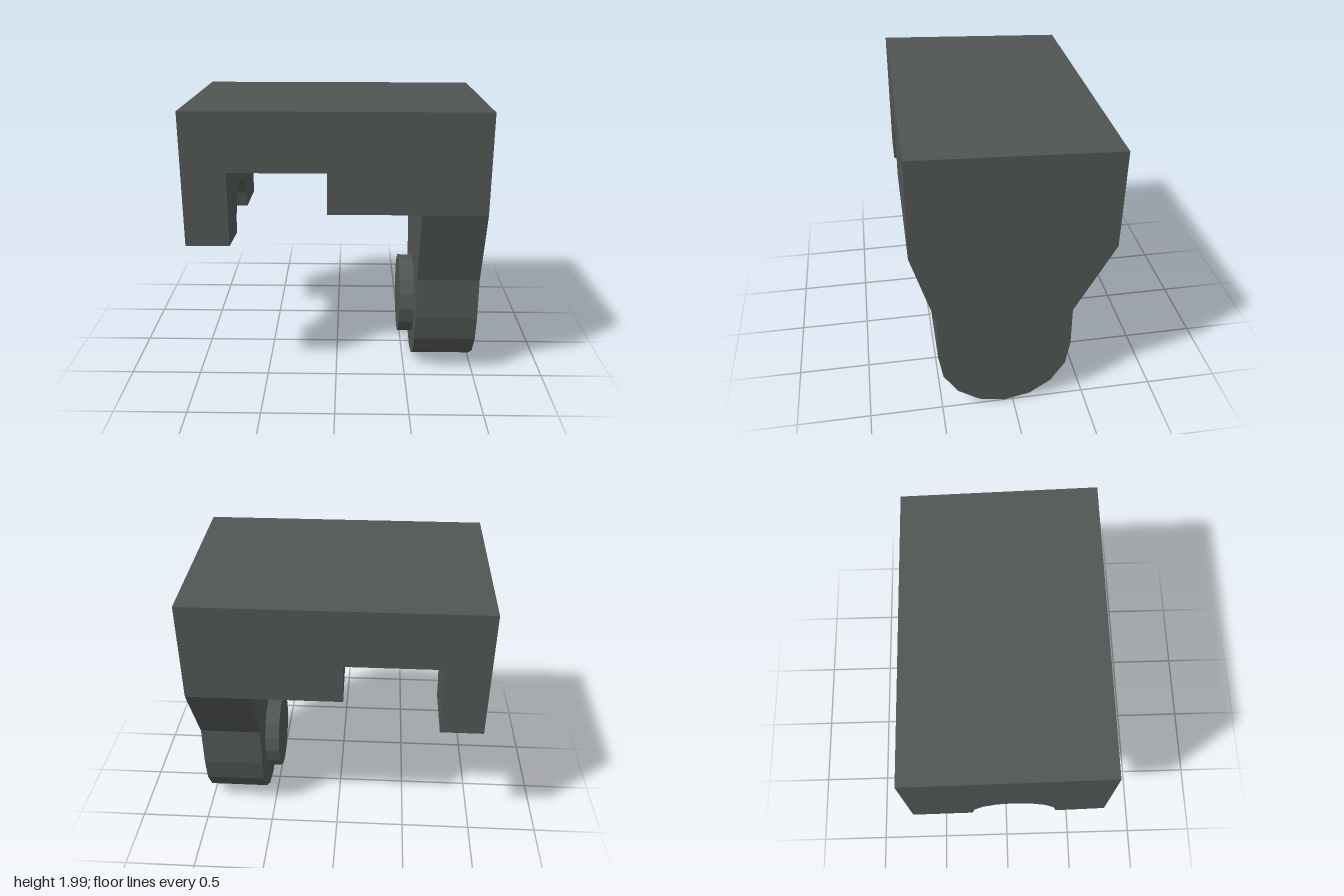
import * as THREE from 'three';

const material = new THREE.MeshStandardMaterial({ color: 0x505654, flatShading: true });

// Pin axis (z, y) shared by the lug, the socket and the clearance arc
const AXIS_Z = 0.06, AXIS_Y = 0.455, PIN_RADIUS = 0.29;

// Points on an arc; angles in degrees, measured from +z towards +y
function arc(cz, cy, r, from, to, steps) {
  return Array.from({ length: steps + 1 }, (_, i) => {
    const a = THREE.MathUtils.degToRad(from + (to - from) * i / steps);
    return [cz + r * Math.cos(a), cy + r * Math.sin(a)];
  });
}

// Extrudes a (z, y) outline along x from x0 to x1
function slice(name, x0, x1, outline) {
  const shape = new THREE.Shape(outline.map(([z, y]) => new THREE.Vector2(z, y)));
  const geometry = new THREE.ExtrudeGeometry(shape, { depth: x1 - x0, bevelEnabled: false });
  geometry.rotateY(-Math.PI / 2).translate(x1, 0, 0);
  const mesh = new THREE.Mesh(geometry, material);
  mesh.name = name;
  return mesh;
}

export function createModel() {
  const group = new THREE.Group();
  group.name = 'hingeBracket';

  // The slightly sloping top, shared by every slice
  const top = [[0.66, 1.985], [-0.67, 1.932]];

  // Side wall with a half-round socket in its lower edge
  group.add(slice('socketWall', -1, -0.705, [
    ...top, [-0.66, 1.027],
    ...arc(0.045, 1.055, PIN_RADIUS, 182, -2, 8).map(([z, y]) => [z, y]),
    [0.67, 1.08],
  ]));

  // Thin flat bridge
  group.add(slice('bridge', -0.705, -0.055, [...top, [-0.667, 1.53], [0.664, 1.585]]));

  // Thicker block, hollowed underneath by an arc around the pin axis
  group.add(slice('archedBlock', -0.055, 0.565, [
    ...top, [-0.663, 1.252],
    ...arc(AXIS_Z, AXIS_Y, 1.06, 111, 69, 2),
    [0.668, 1.305],
  ]));

  // Hanging lug with a faceted round end
  group.add(slice('lug', 0.565, 1, [
    ...top, [-0.663, 1.252], [-0.395, 0.762],
    ...arc(AXIS_Z, AXIS_Y, 0.455, 178, 362, 8),
    [0.512, 0.77], [0.668, 1.305],
  ]));

  // Short pin on the inner face of the lug
  const pin = new THREE.Mesh(new THREE.CylinderGeometry(PIN_RADIUS, PIN_RADIUS, 0.13, 16), material);
  pin.name = 'pin';
  pin.rotation.z = Math.PI / 2;
  pin.position.set(0.525, AXIS_Y, AXIS_Z);
  group.add(pin);

  return group;
}
